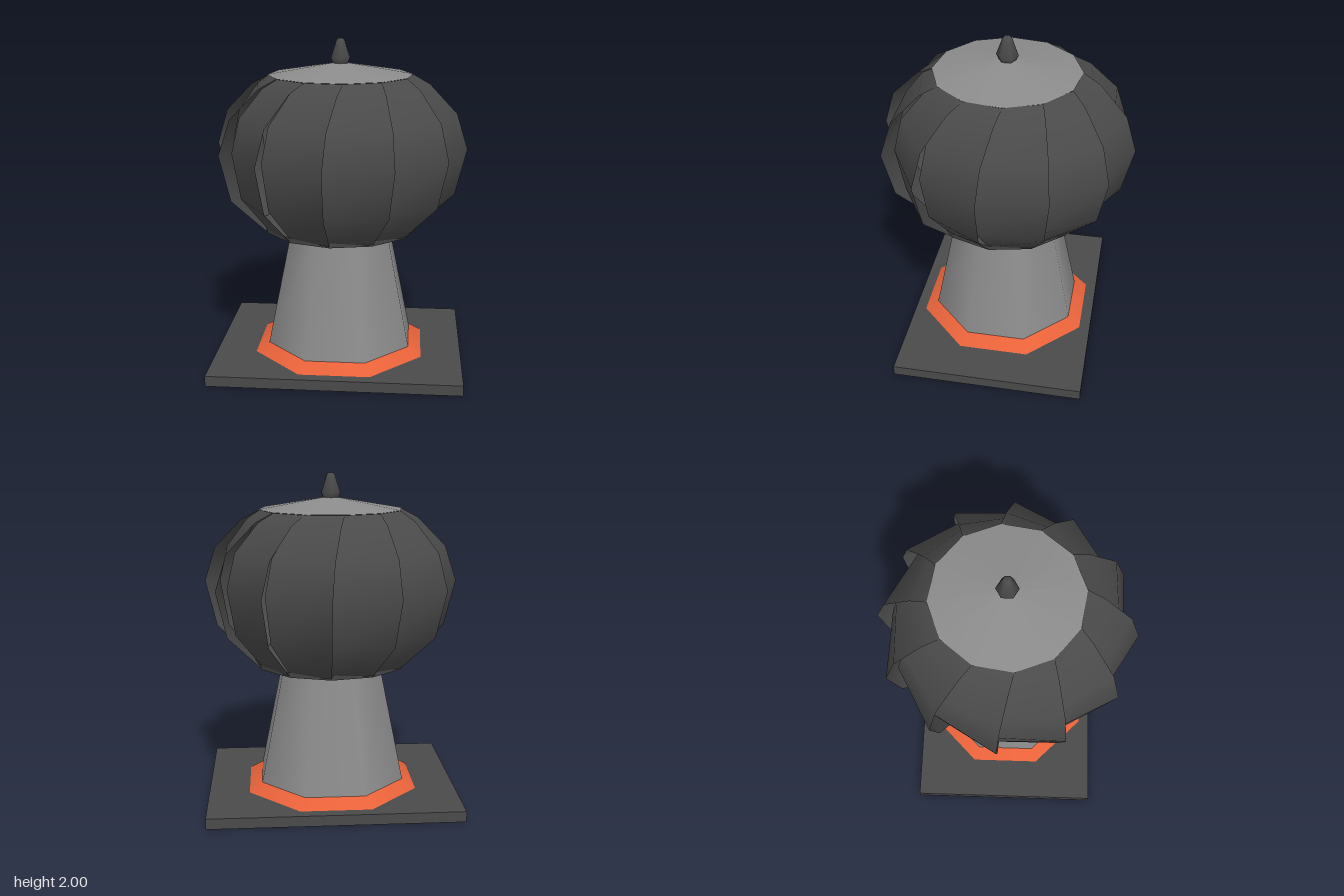
import * as THREE from 'three';

const mat = (name, color, extra = {}) => {
  const m = new THREE.MeshStandardMaterial({ color, ...extra });
  m.name = name;
  return m;
};

// One overlapping vane: rows of trailing and leading points, bottom to top
function vaneGeometry() {
  // y, leading radius, leading angle, trailing radius factor, trailing sweep
  const rows = [
    [0.86, 0.485, -3, 0.96, 31],
    [1.07, 0.70, -3, 0.90, 33],
    [1.35, 0.767, -3, 0.885, 33],
    [1.56, 0.70, -1.7, 0.90, 33],
    [1.73, 0.535, 2.5, 0.94, 32],
    [1.785, 0.435, 6.6, 0.99, 30],
  ];
  const pos = [], idx = [];
  const put = (r, deg, y) => {
    const a = THREE.MathUtils.degToRad(deg);
    pos.push(r * Math.sin(a), y, r * Math.cos(a));
  };
  rows.forEach(([y, r, az, k, sweep], i) => {
    put(r * k, az - sweep, y);
    put(r, az, y);
    if (i) {
      const b = 2 * (i - 1);
      idx.push(b, b + 1, b + 3, b, b + 3, b + 2);
    }
  });
  const g = new THREE.BufferGeometry();
  g.setAttribute('position', new THREE.Float32BufferAttribute(pos, 3));
  g.setIndex(idx);
  g.computeVertexNormals();
  return g;
}

export function createModel() {
  const group = new THREE.Group();
  const dark = mat('darkMetal', 0x4a4a4a);
  const vaneMat = mat('vaneMetal', 0x4a4a4a, { side: THREE.DoubleSide });
  const grey = mat('greyMetal', 0x8c8c8c);
  const orange = mat('orangeSealant', 0xe8623a);

  const add = (name, geo, material, y = 0, parent = group) => {
    const m = new THREE.Mesh(geo, material);
    m.name = name;
    m.position.y = y;
    parent.add(m);
    return m;
  };
  // Tapered prism from y0 to y1
  const taper = (name, r0, r1, y0, y1, sides, start, material, open = false) =>
    add(name, new THREE.CylinderGeometry(r1, r0, y1 - y0, sides, 1, open, start), material, (y0 + y1) / 2);

  // Base plate, sealing collar and octagonal neck
  add('basePlate', new THREE.BoxGeometry(1.525, 0.065, 1.165), dark, 0.0325);
  taper('sealingCollar', 0.557, 0.472, 0.065, 0.117, 8, Math.PI / 8, orange);
  taper('neck', 0.48, 0.312, 0.08, 0.87, 8, Math.PI / 8, grey);

  // Lower ring closing the turbine head
  taper('lowerRing', 0.48, 0.485, 0.85, 0.88, 12, -Math.PI / 60, dark);

  // Twelve overlapping vanes
  const vanes = new THREE.Group();
  vanes.name = 'vanes';
  group.add(vanes);
  const vaneGeo = vaneGeometry();
  for (let i = 0; i < 12; i++) {
    add('vane', vaneGeo, vaneMat, 0, vanes).rotation.y = (i * Math.PI) / 6;
  }

  // Shallow roof and hexagonal finial
  taper('roof', 0.436, 0.001, 1.787, 1.862, 12, THREE.MathUtils.degToRad(6.6), grey);
  const profile = [[0.045, 1.845], [0.065, 1.885], [0.036, 1.965], [0.03, 1.985], [0.016, 2], [0, 2]]
    .map(([r, y]) => new THREE.Vector2(r, y));
  add('finial', new THREE.LatheGeometry(profile, 6), dark);

  return group;
}
